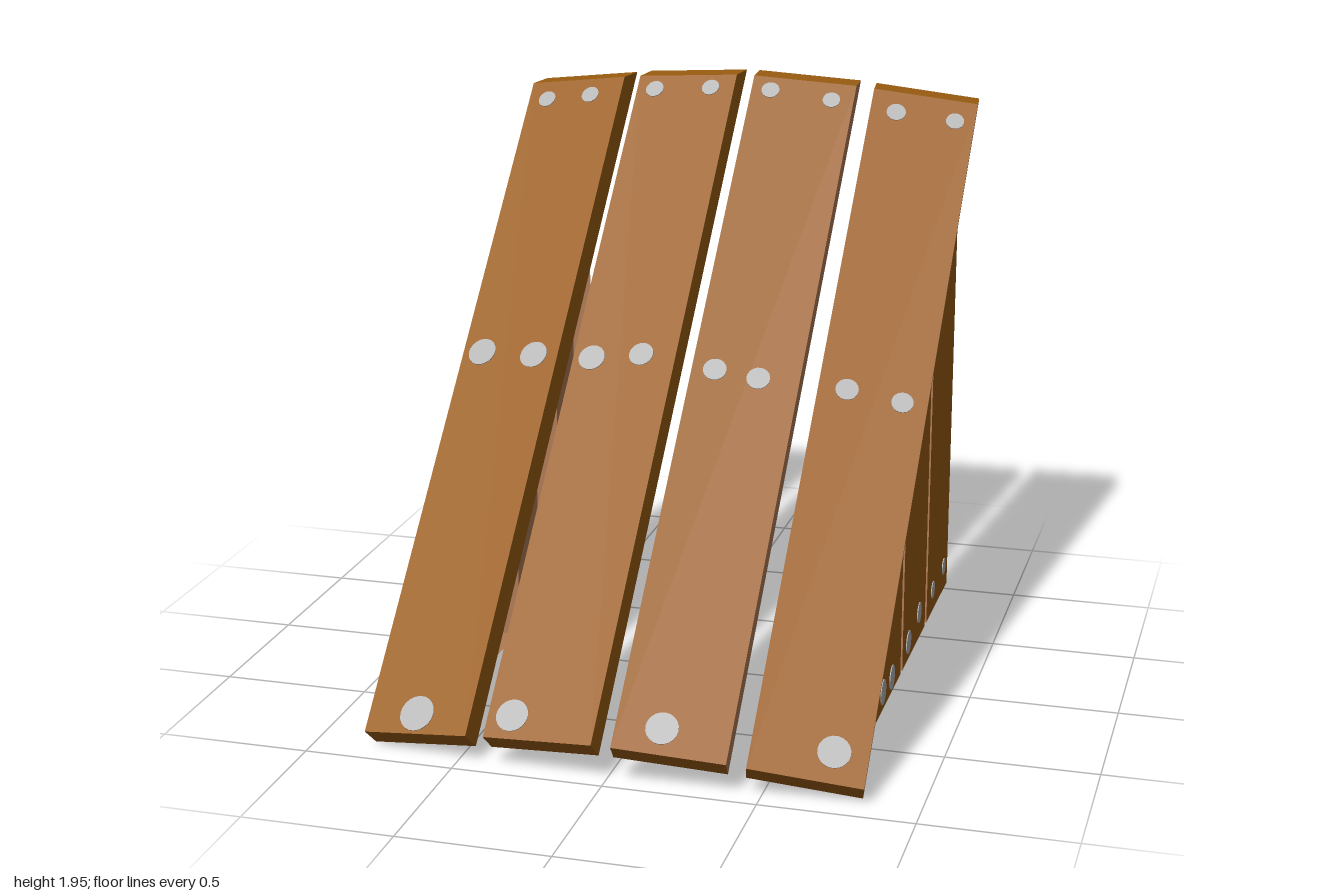
import * as THREE from 'three';

const mat = (name, color) => {
  const m = new THREE.MeshStandardMaterial({ color, side: THREE.DoubleSide });
  m.name = name;
  return m;
};

// Flat-shaded sheet mesh from convex polygons, each a list of Vector3 corners
function sheet(name, material, polygons) {
  const pos = [];
  for (const p of polygons)
    for (let i = 1; i < p.length - 1; i++)
      for (const v of [p[0], p[i], p[i + 1]]) pos.push(v.x, v.y, v.z);
  const g = new THREE.BufferGeometry();
  g.setAttribute('position', new THREE.Float32BufferAttribute(pos, 3));
  g.computeVertexNormals();
  const mesh = new THREE.Mesh(g, material);
  mesh.name = name;
  return mesh;
}

// Thin round nail head that shows on both sides of its sheet
function nailHead(material, point, normal, r) {
  const m = new THREE.Mesh(new THREE.CylinderGeometry(r, r, 0.006, 20), material);
  m.position.copy(point);
  m.quaternion.setFromUnitVectors(new THREE.Vector3(0, 1, 0), normal);
  m.name = 'nailHead';
  return m;
}

export function createModel() {
  const wood = mat('brown wood', 0x9a5d10);
  const rawWood = mat('raw tan wood', 0xb07b57);
  const steel = mat('grey nail', 0xb4b4b4);
  const V = (x, y, z) => new THREE.Vector3(x, y, z);
  const model = new THREE.Group();
  model.name = 'leanToShelter';

  // Sloped roof boards: trays open underneath, arched across the width
  const T = 0.058;
  const inner = { xi: 0.032, xo: 0.398, lean: 0.008, ei: 0.08, eo: 0.055 };
  const outer = { xi: 0.46, xo: 0.823, lean: 0.014, ei: 0.047, eo: 0 };
  // nails: x, y, radius
  const roofBoards = [
    [outer, -1, [[-0.75, 1.825, 0.033], [-0.58, 1.852, 0.033], [-0.75, 1.07, 0.051], [-0.55, 1.085, 0.05], [-0.65, 0.13, 0.06]]],
    [inner, -1, [[-0.33, 1.888, 0.033], [-0.12, 1.905, 0.032], [-0.33, 1.1, 0.047], [-0.155, 1.125, 0.043], [-0.315, 0.175, 0.054]]],
    [inner, 1, [[0.1, 1.906, 0.032], [0.32, 1.88, 0.031], [0.11, 1.1, 0.04], [0.26, 1.08, 0.04], [0.18, 0.19, 0.053]]],
    [outer, 1, [[0.55, 1.845, 0.034], [0.755, 1.818, 0.032], [0.555, 1.055, 0.039], [0.74, 1.02, 0.037], [0.715, 0.145, 0.053]]],
  ];
  for (const [b, side, nails] of roofBoards) {
    const board = new THREE.Group();
    board.name = 'roofBoard';
    // corners of one long edge: rim and face at the foot, then face and rim at the head
    const edge = (x, e) => {
      const rx = side * (x - b.lean), fx = side * x;
      return [
        V(rx, e, 0.87 + e), V(fx, T + e, 0.87 + T + e),
        V(fx, 1.87 + e, -1 + 2 * T + e), V(rx, 1.87 + e, -1 + e),
      ];
    };
    const I = edge(b.xi, b.ei), O = edge(b.xo, b.eo);
    const strip = (k) => [I[k], O[k], O[k + 1], I[k + 1]];
    board.add(sheet('boardFace', wood, [strip(0), strip(1), strip(2), I]));
    board.add(sheet('boardOuterEdge', rawWood, [O]));
    const normal = O[1].clone().sub(I[1]).cross(I[2].clone().sub(I[1])).normalize();
    if (normal.y < 0) normal.negate();
    for (const [x, y, r] of nails) {
      const t = (Math.abs(x) - b.xi) / (b.xo - b.xi);
      const e = b.ei + (b.eo - b.ei) * t;
      board.add(nailHead(steel, V(x, y, 0.87 + 2 * (T + e) - y), normal, r));
    }
    model.add(board);
  }

  // Side wall boards: upright trays open towards the inside, cut to the slope
  const SLOPE = 0.858, FOOT = 0.025;
  const spans = [[0.805, 0.385], [0.35, -0.075], [-0.11, -0.54], [-0.575, -1]];
  const walls = [
    { name: 'leftWall', xOut: 0.745, xIn: 0.68, face: wood },
    { name: 'rightWall', xOut: -0.72, xIn: -0.65, face: rawWood },
  ];
  for (const w of walls) {
    const wall = new THREE.Group();
    wall.name = w.name;
    for (const [z0, z1] of spans) {
      const outline = [[z0, FOOT], [z1, FOOT], [z1, SLOPE - z1], [z0, SLOPE - z0]];
      const at = (x) => outline.map(([z, y]) => V(x, y, z));
      const A = at(w.xOut), B = at(w.xIn);
      wall.add(sheet('wallBoardFace', w.face, [A]));
      wall.add(sheet('wallBoardEdges', rawWood,
        A.map((_, i) => [A[i], A[(i + 1) % 4], B[(i + 1) % 4], B[i]])));
    }
    model.add(wall);
  }

  // Nails on the left wall: z, y, radius
  const wallNails = [
    [0.6, 0.09, 0.05], [0.24, 0.09, 0.044], [0.085, 0.08, 0.043], [0.165, 0.62, 0.045],
    [0.05, 0.71, 0.045], [-0.215, 0.09, 0.042], [-0.415, 0.125, 0.038], [-0.185, 0.96, 0.042],
    [-0.495, 1.2, 0.037], [-0.69, 0.11, 0.032], [-0.915, 0.12, 0.031], [-0.7, 1.385, 0.034],
    [-0.95, 1.54, 0.031],
  ];
  for (const [z, y, r] of wallNails)
    model.getObjectByName('leftWall').add(nailHead(steel, V(0.745, y, z), V(1, 0, 0), r));

  return model;
}
